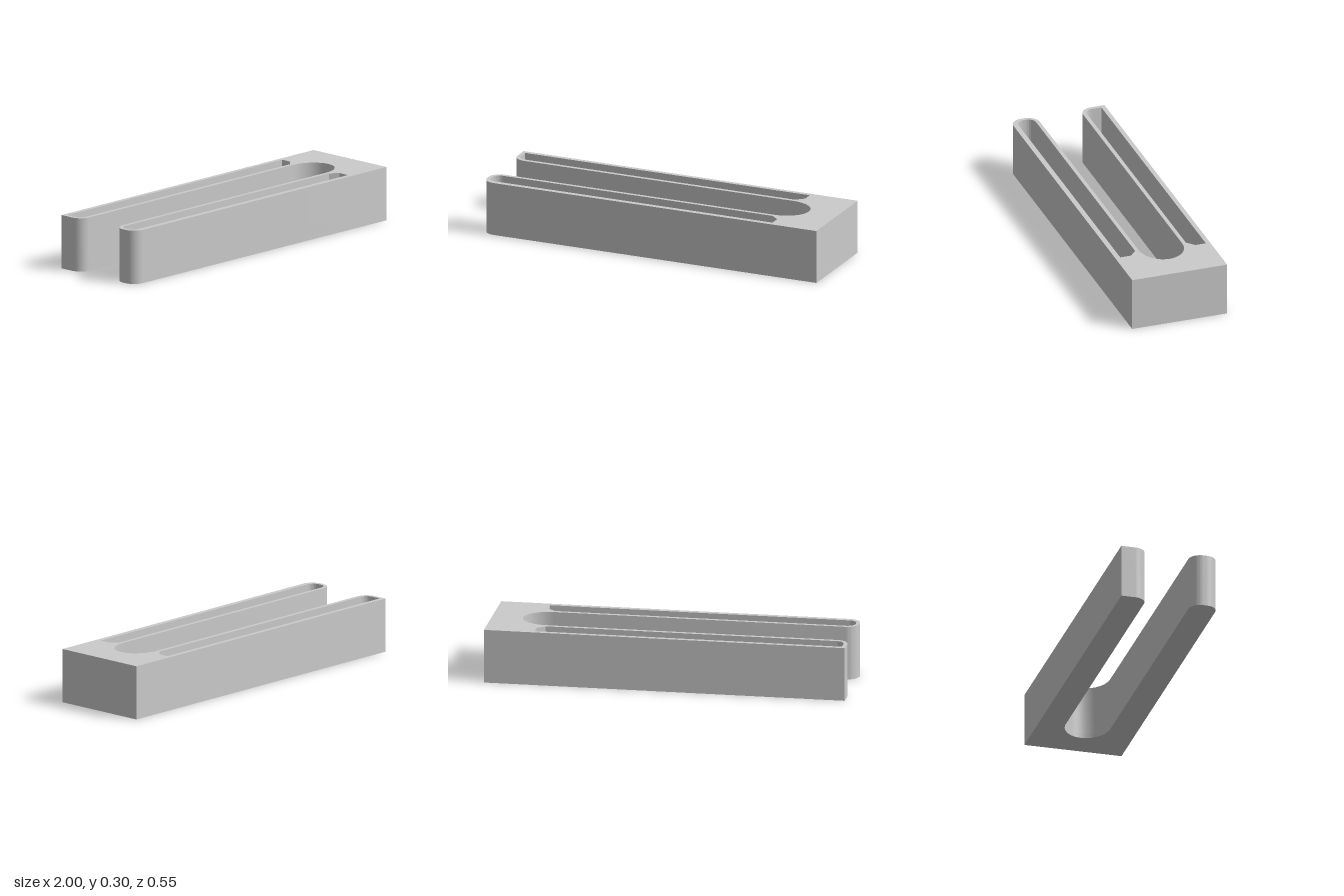
import * as THREE from 'three';
import { toCreasedNormals } from 'three/addons/utils/BufferGeometryUtils.js';

const HEIGHT = 0.3, FLOOR = 0.025;

// Plan outline: two arms joined by a solid block (shape y = -z)
function outline() {
  const s = new THREE.Shape();
  s.moveTo(1, -0.275);
  s.lineTo(1, 0.275);
  s.lineTo(-1, 0.275);
  s.lineTo(-1, 0.195);
  s.absarc(-0.933, 0.195, 0.067, Math.PI, Math.PI * 1.5, false);
  s.lineTo(0.68, 0.128);
  // rounded end of the slot
  s.absellipse(0.68, 0.0025, 0.15, 0.1255, Math.PI / 2, -Math.PI / 2, true);
  s.lineTo(-0.933, -0.123);
  s.absarc(-0.933, -0.19, 0.067, Math.PI / 2, Math.PI, false);
  s.lineTo(-1, -0.208);
  s.absarc(-0.933, -0.208, 0.067, Math.PI, Math.PI * 1.5, false);
  s.closePath();
  return s;
}

// Pocket from inner edge to outer edge; side = 1 for back arm, -1 for front arm
function pocket(inner, outer, side, roundOuter) {
  const p = new THREE.Path(), r = 0.045, x0 = -0.98, x1 = 0.724;
  const y = (v) => v * side;
  p.moveTo(x1, y(outer));
  p.lineTo(x1, y(inner + 0.04));
  p.lineTo(x1 - 0.044, y(inner));
  p.lineTo(x0 + r, y(inner));
  p.absarc(x0 + r, y(inner + r), r, -side * Math.PI / 2, Math.PI, side > 0);
  if (roundOuter) {
    p.lineTo(x0, y(outer - r));
    p.absarc(x0 + r, y(outer - r), r, Math.PI, side * Math.PI / 2, side > 0);
  } else {
    p.lineTo(x0, y(outer));
  }
  p.closePath();
  return p;
}

function slab(name, shape, bottom, top) {
  let g = new THREE.ExtrudeGeometry(shape, { depth: top - bottom, bevelEnabled: false, curveSegments: 12 });
  g.rotateX(-Math.PI / 2);
  g.translate(0, bottom, 0);
  g = toCreasedNormals(g, Math.PI / 6);
  const mesh = new THREE.Mesh(g, new THREE.MeshStandardMaterial({ color: 0xcccccc }));
  mesh.name = name;
  return mesh;
}

export function createModel() {
  const group = new THREE.Group();
  group.name = 'forkedBlock';

  // closed floor under the pockets
  group.add(slab('floor', outline(), 0, FLOOR));

  // walls and end block, hollowed by one pocket in each arm
  const walls = outline();
  walls.holes.push(pocket(0.15, 0.25, 1, false), pocket(0.144, 0.246, -1, true));
  group.add(slab('walls', walls, FLOOR, HEIGHT));
  return group;
}
